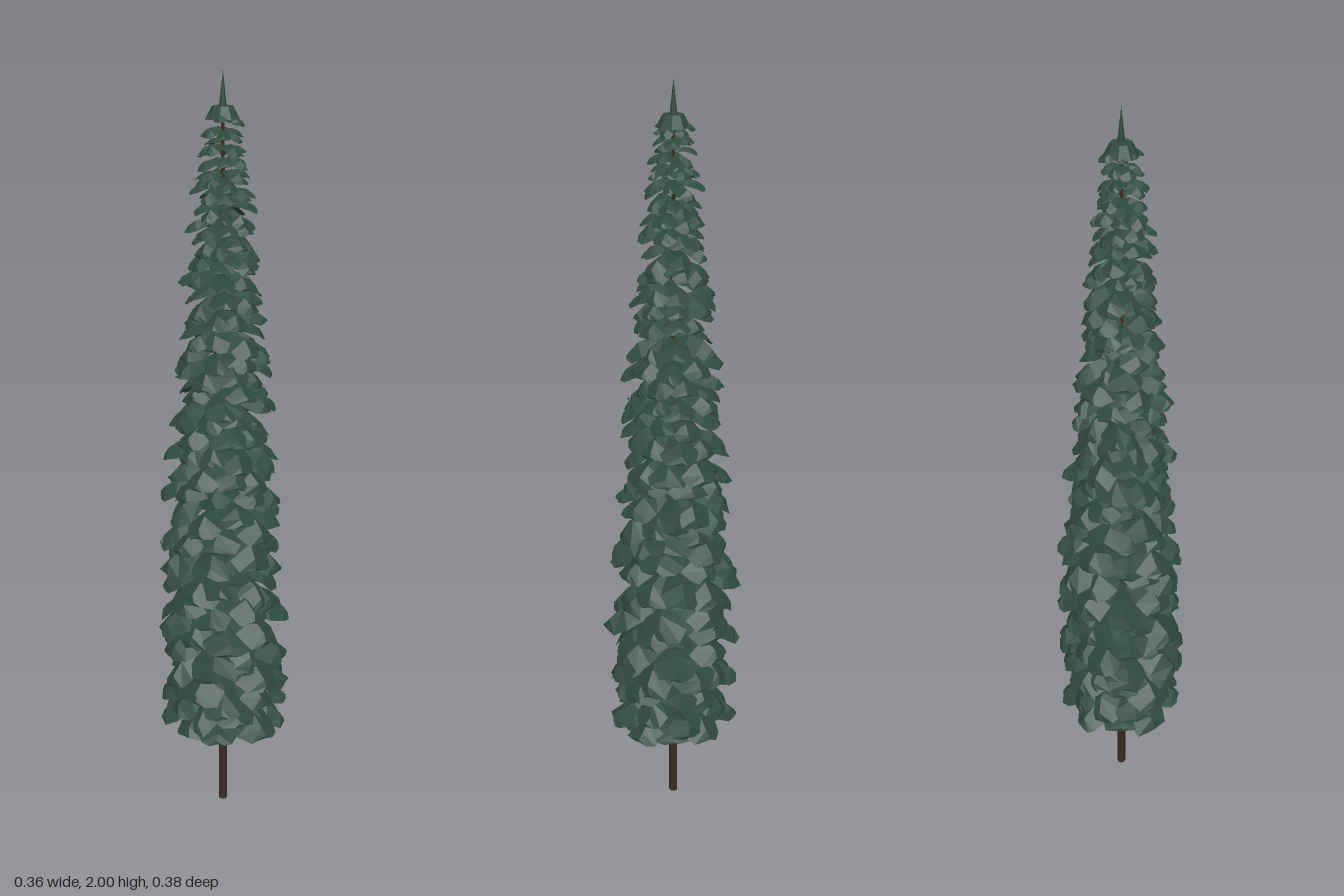
import * as THREE from 'three';
import { mergeGeometries } from 'three/addons/utils/BufferGeometryUtils.js';

// Small seeded generator, so that the tree is always the same
let seed = 7;
function rand(lo, hi) {
  seed = (seed * 16807) % 2147483647;
  return lo + (hi - lo) * (seed / 2147483647);
}

// Crown radius at a height, interpolated between a few points
const PROFILE = [[0.25, 0.165], [0.45, 0.18], [0.6, 0.187], [0.75, 0.178], [0.92, 0.162],
  [1.2, 0.137], [1.5, 0.107], [1.7, 0.083], [1.84, 0.062], [1.93, 0.045]];
function crownRadius(y) {
  let i = 1;
  while (i < PROFILE.length - 1 && PROFILE[i][0] < y) i++;
  const [y0, r0] = PROFILE[i - 1], [y1, r1] = PROFILE[i];
  return THREE.MathUtils.lerp(r0, r1, THREE.MathUtils.clamp((y - y0) / (y1 - y0), 0, 1));
}

// Sections of a frond: distance out, ridge height, half width, hang of the edges
const SECTIONS = [
  [0.04, 0.05, 0.08, 0.08],
  [0.38, 0.16, 0.22, 0.17],
  [0.72, 0.1, 0.31, 0.21],
  [0.93, -0.05, 0.24, 0.16],
  [1.0, -0.15, 0.11, 0.06],
];

// One drooping frond along +x: a ridge, two hanging edges and a shallow underside
function frond(length, width) {
  const points = [], index = [];
  const wobble = () => rand(-0.035, 0.035) * length;
  for (const [out, high, half, hang] of SECTIONS) {
    const x = out * length, y = high * length, w = half * width, h = hang * length;
    points.push(
      x, y + wobble() * 0.5, wobble(),
      x + wobble(), y - h + wobble(), w + wobble(),
      x, y - h * 0.75, 0,
      x + wobble(), y - h + wobble(), -w + wobble(),
    );
  }
  for (let s = 0; s < SECTIONS.length - 1; s++) {
    for (let k = 0; k < 4; k++) {
      const a = s * 4 + k, b = s * 4 + (k + 1) % 4;
      index.push(a, b, a + 4, b, b + 4, a + 4);
    }
  }
  const e = (SECTIONS.length - 1) * 4;
  index.push(e, e + 1, e + 2, e, e + 2, e + 3);
  const g = new THREE.BufferGeometry();
  g.setAttribute('position', new THREE.Float32BufferAttribute(points, 3));
  g.setIndex(index);
  const flat = g.toNonIndexed();
  flat.computeVertexNormals();
  return flat;
}

export function createModel() {
  seed = 7;
  const tree = new THREE.Group();
  tree.name = 'conifer';
  const needles = new THREE.MeshStandardMaterial({ color: 0x2f4a3f, flatShading: true, side: THREE.DoubleSide });
  needles.name = 'dark green needles';
  const bark = new THREE.MeshStandardMaterial({ color: 0x3a2a23, flatShading: true });
  bark.name = 'dark brown bark';

  const add = (name, geometry, material, y = 0) => {
    const mesh = new THREE.Mesh(geometry, material);
    mesh.name = name;
    mesh.position.y = y;
    tree.add(mesh);
  };

  // Trunk, running up inside the crown
  add('trunk', new THREE.CylinderGeometry(0.004, 0.012, 1.9, 7), bark, 0.95);

  // Whorls of fronds, closer together towards the top
  let y = 0.295, tier = 0;
  while (y < 1.9) {
    const R = crownRadius(y), count = R > 0.12 ? 9 : R > 0.07 ? 8 : 7;
    const turn = tier * 2.4;
    const fronds = [];
    for (let i = 0; i < count; i++) {
      const length = R * (tier === 0 ? rand(0.93, 1.04) : rand(0.8, 1.04));
      const g = frond(length, R * rand(0.85, 1.2));
      g.rotateZ(tier === 0 ? rand(-0.02, 0.08) : rand(-0.28, 0.06));
      g.rotateY(turn + (i + rand(-0.25, 0.25)) / count * Math.PI * 2);
      g.translate(0, tier === 0 ? 0 : rand(-0.1, 0.1) * R, 0);
      fronds.push(g);
    }
    add(`whorl${tier + 1}`, mergeGeometries(fronds), needles, y);
    y += 0.018 + R * 0.24;
    tier++;
  }

  // Blunt cap of the crown and the thin leader above it
  add('crownCap', new THREE.CylinderGeometry(0.026, 0.042, 0.03, 9), needles, 1.902);
  add('leader', new THREE.ConeGeometry(0.011, 0.1, 6), needles, 1.95);
  return tree;
}
